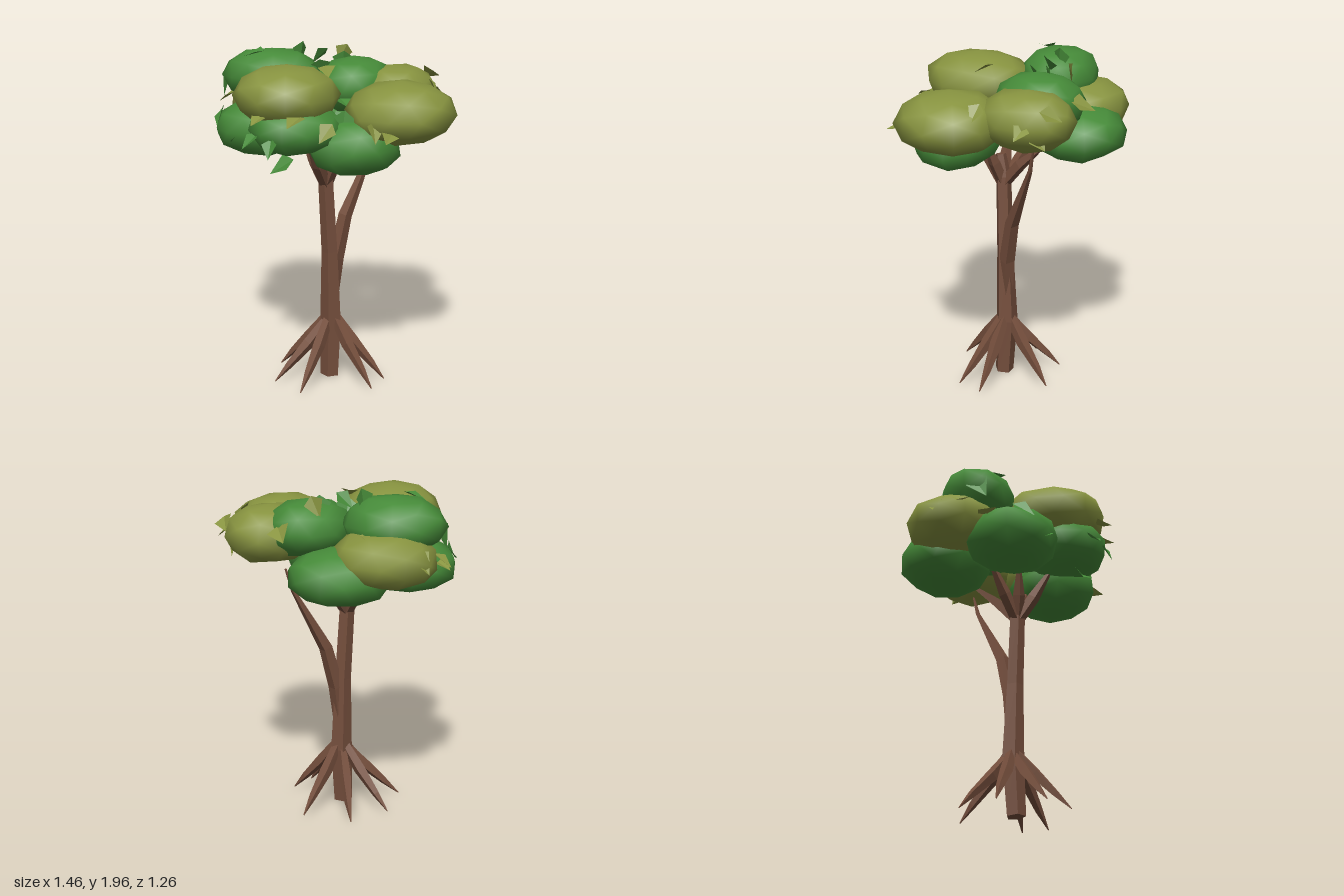
import * as THREE from 'three';
import { mergeVertices } from 'three/addons/utils/BufferGeometryUtils.js';

const mat = (name, color, extra = {}) => {
  const m = new THREE.MeshStandardMaterial({ color, ...extra });
  m.name = name;
  return m;
};

// Small seeded random source
function seeded(seed) {
  let s = seed;
  return () => (s = (s * 16807) % 2147483647) / 2147483647;
}

// Tapered faceted limb: stops are [x, y, z, radius]
function limbGeometry(stops, sides) {
  const pts = stops.map(s => new THREE.Vector3(s[0], s[1], s[2]));
  const pos = [], idx = [];
  const last = pts.length - 1;
  pts.forEach((p, j) => {
    const dir = pts[Math.min(j + 1, last)].clone().sub(pts[Math.max(j - 1, 0)]).normalize();
    const u = new THREE.Vector3(0.25, 0.1, 0.95).cross(dir).normalize();
    const v = dir.clone().cross(u);
    for (let i = 0; i < sides; i++) {
      const a = (i / sides) * Math.PI * 2;
      const q = p.clone().addScaledVector(u, Math.cos(a) * stops[j][3])
        .addScaledVector(v, Math.sin(a) * stops[j][3]);
      pos.push(q.x, q.y, q.z);
    }
  });
  for (let j = 0; j < last; j++) {
    for (let i = 0; i < sides; i++) {
      const k = (i + 1) % sides, a = j * sides, b = a + sides;
      idx.push(a + i, a + k, b + k, a + i, b + k, b + i);
    }
  }
  // End caps
  for (let i = 1; i < sides - 1; i++) {
    const e = last * sides;
    idx.push(0, i + 1, i, e, e + i, e + i + 1);
  }
  const g = new THREE.BufferGeometry();
  g.setAttribute('position', new THREE.Float32BufferAttribute(pos, 3));
  g.setIndex(idx);
  const flat = g.toNonIndexed();
  flat.computeVertexNormals();
  return flat;
}

// Smooth, slightly irregular foliage clump with steep sides
function clumpGeometry(rx, ry, rz, seed) {
  const rnd = seeded(seed * 7919 + 13);
  let g = new THREE.IcosahedronGeometry(1, 1);
  g.deleteAttribute('normal');
  g.deleteAttribute('uv');
  g = mergeVertices(g, 1e-4);
  g.rotateY(seed * 1.3);
  const p = g.attributes.position;
  for (let i = 0; i < p.count; i++) {
    const k = 0.97 + rnd() * 0.09;
    const y = p.getY(i);
    p.setXYZ(i, p.getX(i) * k * rx, Math.sign(y) * Math.abs(y) ** 0.85 * ry * k, p.getZ(i) * k * rz);
  }
  g.computeVertexNormals();
  return g;
}

// Loose leaf: a kite folded along its length
function leafGeometry() {
  const g = new THREE.BufferGeometry();
  g.setAttribute('position', new THREE.Float32BufferAttribute([
    0, -0.07, 0, 0.05, 0.015, 0.015, 0, 0.05, 0,
    0, -0.07, 0, 0, 0.05, 0, -0.05, 0.015, 0.015], 3));
  g.computeVertexNormals();
  return g;
}

export function createModel() {
  const tree = new THREE.Group();
  tree.name = 'tree';
  const bark = mat('bark brown', 0x744e3c);
  const green = mat('leaf green', 0x468b39);
  const olive = mat('leaf olive', 0x889440);
  const leafGreen = mat('loose leaf green', 0x468b39, { side: THREE.DoubleSide });
  const leafOlive = mat('loose leaf olive', 0x889440, { side: THREE.DoubleSide });
  const add = (parent, name, geo, material) => {
    const m = new THREE.Mesh(geo, material);
    m.name = name;
    parent.add(m);
    return m;
  };

  // Trunk and the long side limb
  const wood = new THREE.Group();
  wood.name = 'wood';
  tree.add(wood);
  add(wood, 'trunk', limbGeometry([
    [-0.005, 0.02, 0.03, 0.056], [0, 0.36, 0.012, 0.066], [-0.005, 0.8, 0.025, 0.05],
    [-0.025, 1.25, 0.042, 0.046], [-0.03, 1.38, 0.06, 0.03]], 5), bark);
  add(wood, 'sideLimb', limbGeometry([
    [0.005, 0.5, 0.01, 0.035], [0.025, 0.75, 0, 0.046], [0.07, 1.0, -0.05, 0.04],
    [0.2, 1.37, -0.21, 0.013], [0.23, 1.5, -0.24, 0.006]], 4), bark);

  // Branches fanning into the crown
  [[-0.15, 1.48, 0.06], [0.08, 1.46, 0.1], [-0.08, 1.48, 0.23], [0.03, 1.45, -0.2], [-0.2, 1.5, -0.1]]
    .forEach(([x, y, z]) => add(wood, 'branch', limbGeometry([
      [-0.025, 1.2, 0.042, 0.034], [(x - 0.02) * 0.5, 1.34, (z + 0.05) * 0.5, 0.036], [x, y, z, 0.014]], 4), bark));

  // Roots: tip x, tip z, starting height
  [[0.275, 0.2, 0.4], [-0.12, 0.335, 0.4], [-0.3, 0.21, 0.38], [0.325, 0.05, 0.4],
    [0.115, -0.288, 0.4], [-0.325, -0.055, 0.4], [-0.175, -0.265, 0.38]]
    .forEach(([x, z, h]) => add(wood, 'root', limbGeometry([
      [x * 0.05, h, z * 0.05 + 0.01, 0.028], [x * 0.4, h * 0.62, z * 0.4 + 0.008, 0.036],
      [x * 0.75, h * 0.3, z * 0.75, 0.022], [x, 0.025, z, 0.003]], 4), bark));

  // Crown clumps: centre, radii, colour
  const crown = new THREE.Group();
  crown.name = 'crown';
  tree.add(crown);
  [
    [-0.37, 1.63, -0.29, 0.29, 0.15, 0.28, olive],
    [-0.14, 1.53, -0.37, 0.28, 0.155, 0.27, green],
    [-0.38, 1.79, -0.165, 0.285, 0.155, 0.22, green],
    [0.09, 1.745, -0.215, 0.23, 0.155, 0.26, green],
    [0.32, 1.7, -0.24, 0.24, 0.16, 0.265, olive],
    [0.41, 1.67, 0.165, 0.3, 0.165, 0.295, olive],
    [-0.2, 1.765, 0.265, 0.285, 0.16, 0.31, olive],
    [-0.39, 1.53, 0.03, 0.275, 0.155, 0.26, green],
    [0.17, 1.5, 0.25, 0.255, 0.16, 0.25, green],
    [-0.13, 1.6, 0.33, 0.255, 0.14, 0.25, green],
  ].forEach(([x, y, z, rx, ry, rz, m], i) =>
    add(crown, 'foliageClump', clumpGeometry(rx, ry, rz, i + 1), m).position.set(x, y, z));

  // Loose leaves around the clumps, tipped outward
  const leaves = new THREE.Group();
  leaves.name = 'looseLeaves';
  tree.add(leaves);
  const leafGeo = leafGeometry();
  const rnd = seeded(4242);
  const scatter = (list, material) => list.forEach(([x, y, z]) => {
    const leaf = add(leaves, 'leaf', leafGeo, material);
    leaf.position.set(x, y, z);
    leaf.rotation.set(-0.7 + (rnd() - 0.5) * 1.2, Math.atan2(x, z) + (rnd() - 0.5), (rnd() - 0.5) * 1.8, 'YXZ');
    leaf.scale.setScalar(0.85 + rnd() * 0.5);
  });
  scatter([
    [-0.45, 1.93, -0.06], [-0.22, 1.92, -0.22], [-0.1, 1.91, -0.2], [-0.64, 1.75, -0.14],
    [0.1, 1.7, 0.13], [0.13, 1.64, 0.34], [-0.18, 1.41, 0.43], [-0.22, 1.54, 0.57],
    [-0.34, 1.56, 0.5], [-0.62, 1.6, 0.1], [0.02, 1.87, -0.24], [-0.09, 1.84, -0.12],
    [-0.1, 1.78, -0.04], [0.08, 1.62, 0.2], [0.16, 1.6, 0.3], [-0.5, 1.5, 0.22],
  ], leafGreen);
  scatter([
    [0.15, 1.76, -0.48], [0.5, 1.78, -0.43], [0.57, 1.7, -0.3], [0.56, 1.78, -0.05],
    [0.31, 1.62, 0.44], [0.4, 1.6, 0.5], [0.07, 1.62, 0.5], [-0.09, 1.68, 0.55],
    [-0.29, 1.68, 0.55], [-0.67, 1.64, -0.24], [-0.31, 1.75, -0.38], [0, 1.88, 0.14],
    [-0.6, 1.66, -0.38], [0.48, 1.64, -0.36], [0, 1.9, -0.36], [-0.62, 1.58, -0.1],
  ], leafOlive);

  return tree;
}
